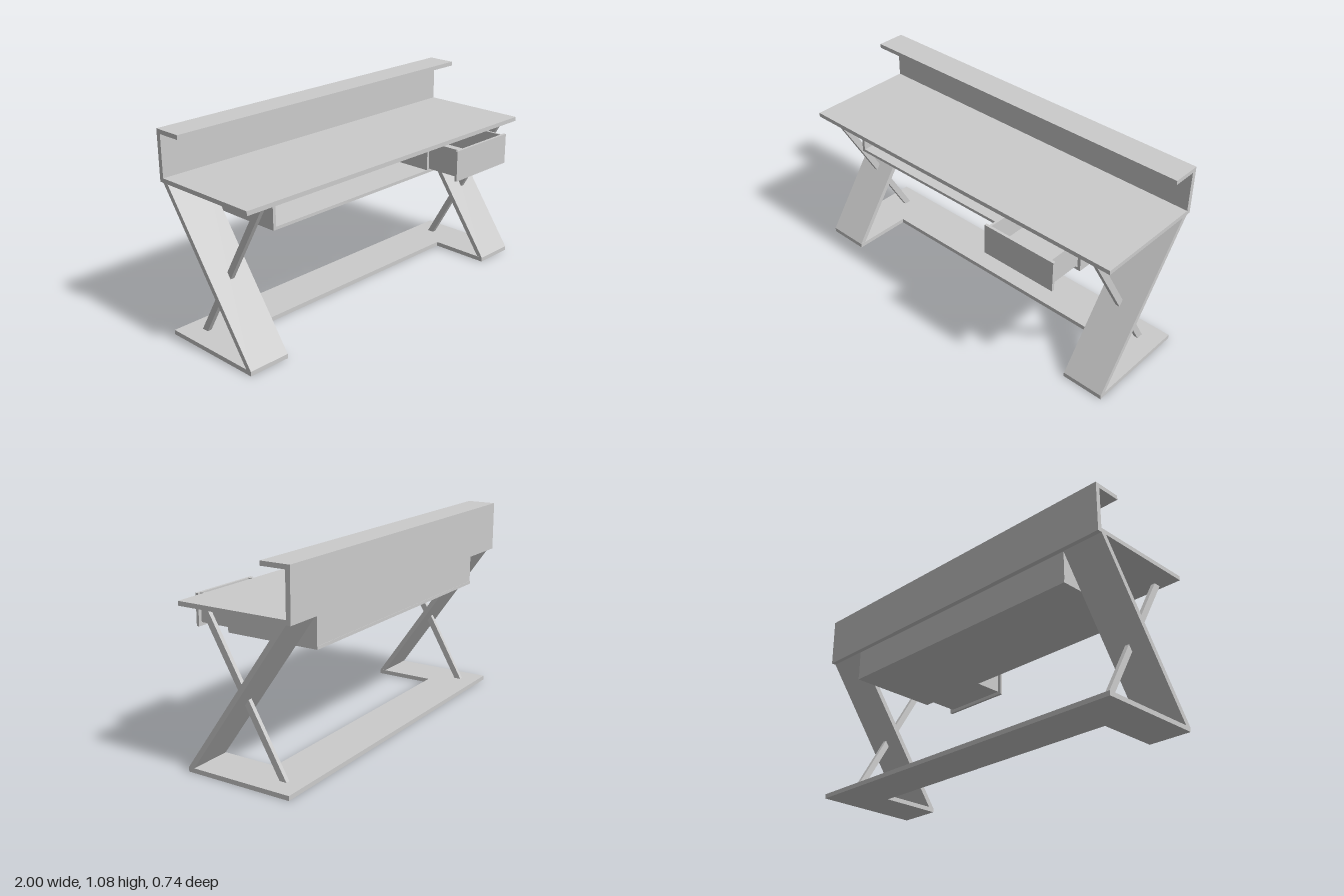
import * as THREE from 'three';

const material = new THREE.MeshStandardMaterial({ color: 0xcccccc, flatShading: true });

// Box given by its min and max on each axis
function board(parent, name, x0, x1, y0, y1, z0, z1) {
  const mesh = new THREE.Mesh(new THREE.BoxGeometry(x1 - x0, y1 - y0, z1 - z0), material);
  mesh.position.set((x0 + x1) / 2, (y0 + y1) / 2, (z0 + z1) / 2);
  mesh.name = name;
  parent.add(mesh);
}

// Outline of [z, y] points extruded across x, centred on xMid
function profile(parent, name, points, xMid, width) {
  const shape = new THREE.Shape(points.map(([z, y]) => new THREE.Vector2(z, y)));
  const geometry = new THREE.ExtrudeGeometry(shape, { depth: width, bevelEnabled: false });
  geometry.translate(0, 0, -width / 2).rotateY(-Math.PI / 2);
  const mesh = new THREE.Mesh(geometry, material);
  mesh.position.x = xMid;
  mesh.name = name;
  parent.add(mesh);
}

export function createModel() {
  const desk = new THREE.Group();
  desk.name = 'desk';
  const floorY = 0.024, underY = 0.814;

  // Worktop with raised back and shelf
  board(desk, 'worktop', -1, 1, underY, 0.837, -0.345, 0.265);
  board(desk, 'backPanel', -1, 1, underY, 1.08, -0.37, -0.345);
  board(desk, 'shelf', -1, 1, 1.057, 1.08, -0.345, -0.211);

  // U-shaped foot plate, open to the front
  const outline = [[-1, -0.345], [1, -0.345], [1, 0.243], [0.767, 0.243],
    [0.767, -0.093], [-0.767, -0.093], [-0.767, 0.243], [-1, 0.243]];
  const base = new THREE.Shape(outline.map(([x, z]) => new THREE.Vector2(x, -z)));
  const baseMesh = new THREE.Mesh(
    new THREE.ExtrudeGeometry(base, { depth: floorY, bevelEnabled: false }).rotateX(-Math.PI / 2), material);
  baseMesh.name = 'footPlate';
  desk.add(baseMesh);

  // Slanted leg panels crossed by slim braces
  for (const [side, s] of [['left', 1], ['right', -1]]) {
    profile(desk, side + 'LegPanel',
      [[0.21, floorY], [0.243, floorY], [-0.313, underY], [-0.345, underY]], s * 0.884, 0.232);
    profile(desk, side + 'Brace',
      [[-0.253, floorY], [-0.214, floorY], [0.242, underY], [0.201, underY]], s * 0.882, 0.023);
  }

  // Compartment under the worktop, open to the front
  const box = new THREE.Group();
  box.name = 'compartment';
  desk.add(box);
  board(box, 'compartmentFloor', -0.767, 0.767, 0.645, 0.661, -0.345, 0.169);
  board(box, 'compartmentBack', -0.75, 0.75, 0.661, underY, -0.343, -0.328);
  board(box, 'compartmentRightWall', -0.767, -0.75, 0.661, underY, -0.343, 0.169);
  board(box, 'compartmentLeftWall', 0.75, 0.767, 0.661, underY, -0.343, 0.169);
  board(box, 'divider', 0.335, 0.35, 0.661, underY, -0.328, 0.169);

  // Drawer, partly pulled out
  const drawer = new THREE.Group();
  drawer.name = 'drawer';
  desk.add(drawer);
  board(drawer, 'drawerFront', 0.338, 0.762, 0.645, 0.812, 0.355, 0.37);
  board(drawer, 'drawerFloor', 0.358, 0.742, 0.663, 0.675, -0.12, 0.355);
  board(drawer, 'drawerRightWall', 0.358, 0.371, 0.675, 0.812, -0.12, 0.355);
  board(drawer, 'drawerLeftWall', 0.729, 0.742, 0.675, 0.812, -0.12, 0.355);
  board(drawer, 'drawerBack', 0.371, 0.729, 0.675, 0.812, -0.12, -0.107);

  return desk;
}
